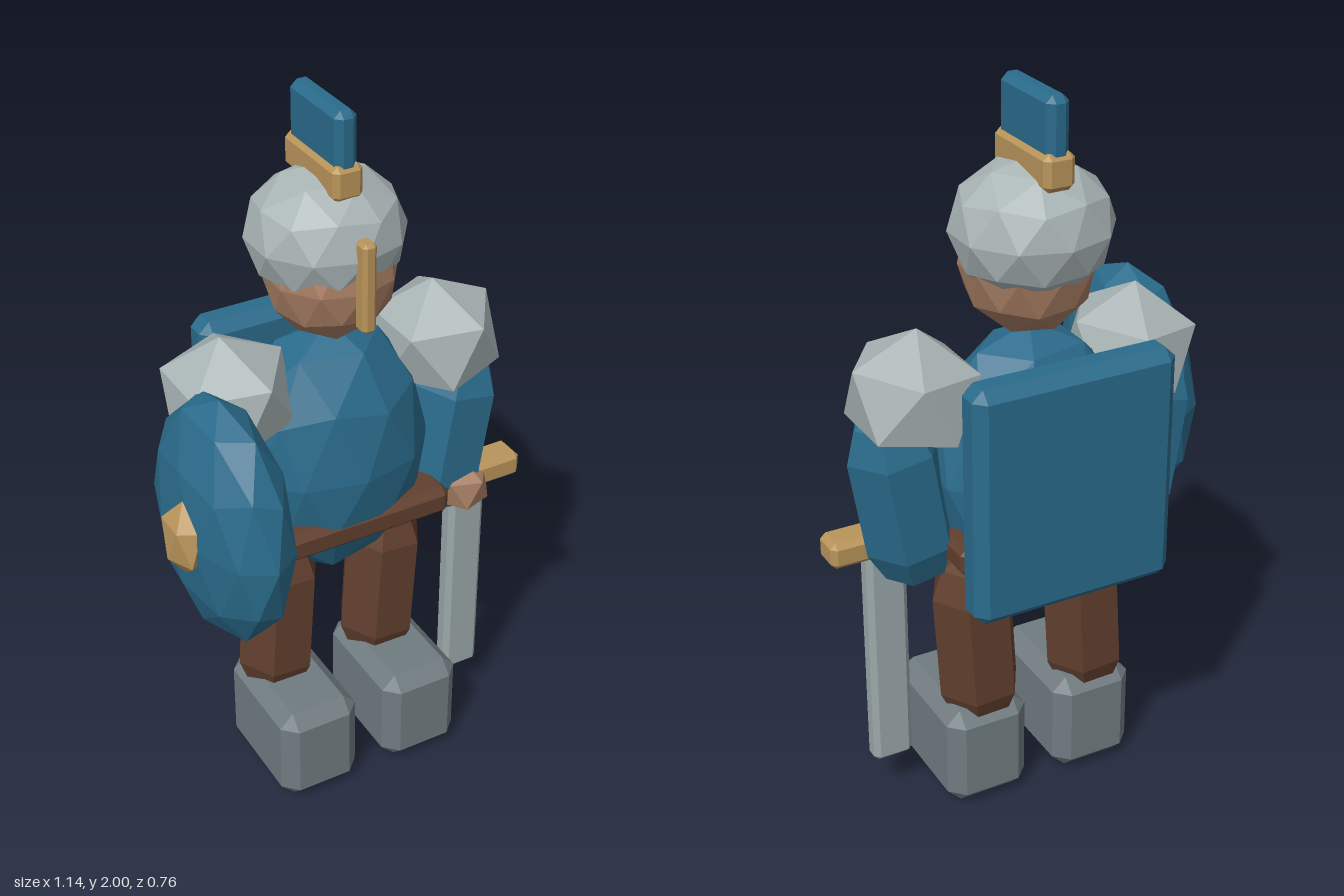
import * as THREE from 'three';
import { ConvexGeometry } from 'three/addons/geometries/ConvexGeometry.js';

const paint = (name, color) => {
  const m = new THREE.MeshStandardMaterial({ color });
  m.name = name;
  return m;
};

// Give every triangle its own flat normal
function faceted(geometry) {
  const g = geometry.index ? geometry.toNonIndexed() : geometry;
  g.computeVertexNormals();
  return g;
}

// Box with all edges and corners cut off by c
function chamferBox(w, h, d, c) {
  const points = [];
  for (const x of [-1, 1]) for (const y of [-1, 1]) for (const z of [-1, 1]) {
    const [X, Y, Z] = [x * w / 2, y * h / 2, z * d / 2];
    points.push(
      new THREE.Vector3(X, Y - y * c, Z - z * c),
      new THREE.Vector3(X - x * c, Y, Z - z * c),
      new THREE.Vector3(X - x * c, Y - y * c, Z));
  }
  return new ConvexGeometry(points);
}

// Low-poly ellipsoid with a vertex at each pole; flatBelow levels off the underside
function blob(rx, ry, rz, detail = 1, flatBelow = -1) {
  const g = new THREE.IcosahedronGeometry(1, detail);
  g.rotateZ(-Math.atan(2 / (1 + Math.sqrt(5))));
  const p = g.attributes.position;
  for (let i = 0; i < p.count; i++) p.setY(i, Math.max(p.getY(i), flatBelow));
  g.scale(rx, ry, rz);
  return faceted(g);
}

// Stubby six-sided limb with tapered ends
const limb = (r, length) => faceted(new THREE.CapsuleGeometry(r, length, 2, 6));

export function createModel() {
  const model = new THREE.Group();
  model.name = 'knight';

  const blue = paint('blue cloth', 0x2a6b8b);
  const steel = paint('pale steel', 0xa9b4b5);
  const blade = paint('blade steel', 0x9aa7a9);
  const iron = paint('boot iron', 0x707b80);
  const skin = paint('skin', 0xa57c62);
  const leather = paint('brown leather', 0x613f2e);
  const brass = paint('brass', 0xb9945a);

  const add = (name, geometry, material, x, y, z, rotZ = 0) => {
    const mesh = new THREE.Mesh(geometry, material);
    mesh.name = name;
    mesh.position.set(x, y, z);
    mesh.rotation.z = rotZ;
    model.add(mesh);
    return mesh;
  };
  const mid = 0.022; // the body's own centre line

  // Body
  add('torso', blob(0.285, 0.385, 0.215), blue, mid, 0.995, -0.11);
  add('belt', chamferBox(0.56, 0.085, 0.36, 0.02), leather, mid, 0.825, -0.1);
  add('backPlate', chamferBox(0.57, 0.66, 0.11, 0.03), blue, 0.025, 1.02, -0.325);

  // Head and crested helmet
  add('head', blob(0.178, 0.19, 0.178), skin, mid, 1.545, -0.1);
  add('helmet', blob(0.213, 0.18, 0.205), steel, mid, 1.64, -0.12);
  add('noseGuard', chamferBox(0.04, 0.25, 0.05, 0.01), brass, mid, 1.575, 0.085);
  add('crestBase', chamferBox(0.085, 0.095, 0.27, 0.015), brass, mid, 1.815, -0.13);
  add('crest', chamferBox(0.062, 0.17, 0.255, 0.018), blue, mid, 1.915, -0.13);

  // Limbs
  for (const [side, s] of [['right', -1], ['left', 1]]) {
    add(side + 'Boot', chamferBox(0.24, 0.3, 0.37, 0.04), iron, mid + s * 0.165, 0.15, -0.025);
    add(side + 'Leg', limb(0.116, 0.31), leather, 0.02 + s * 0.166, 0.485, -0.11, -0.06);
    add(side + 'Arm', limb(0.125, 0.28), blue, mid + s * 0.355, 0.96, -0.08, -s * 0.16);
    add(side + 'Hand', blob(0.085, 0.085, 0.085, 0), skin, mid + s * 0.37, 0.795, -0.01);
    add(side + 'Pauldron', blob(0.185, 0.175, 0.195, 0, -0.447), steel,
      0.038 + s * 0.313, 1.25, -0.105, 0.1);
  }

  // Shield on the right arm
  add('shield', blob(0.14, 0.352, 0.28), blue, -0.395, 1.03, 0.097).rotation.y = 0.04;
  add('shieldBoss', blob(0.055, 0.11, 0.085, 0), brass, -0.52, 1.035, 0.13);

  // Sword held point down in the left hand
  add('swordBlade', chamferBox(0.115, 0.68, 0.06, 0.015), blade, 0.412, 0.46, -0.028);
  add('swordGuard', chamferBox(0.29, 0.075, 0.095, 0.015), brass, 0.428, 0.817, -0.03);

  return model;
}
